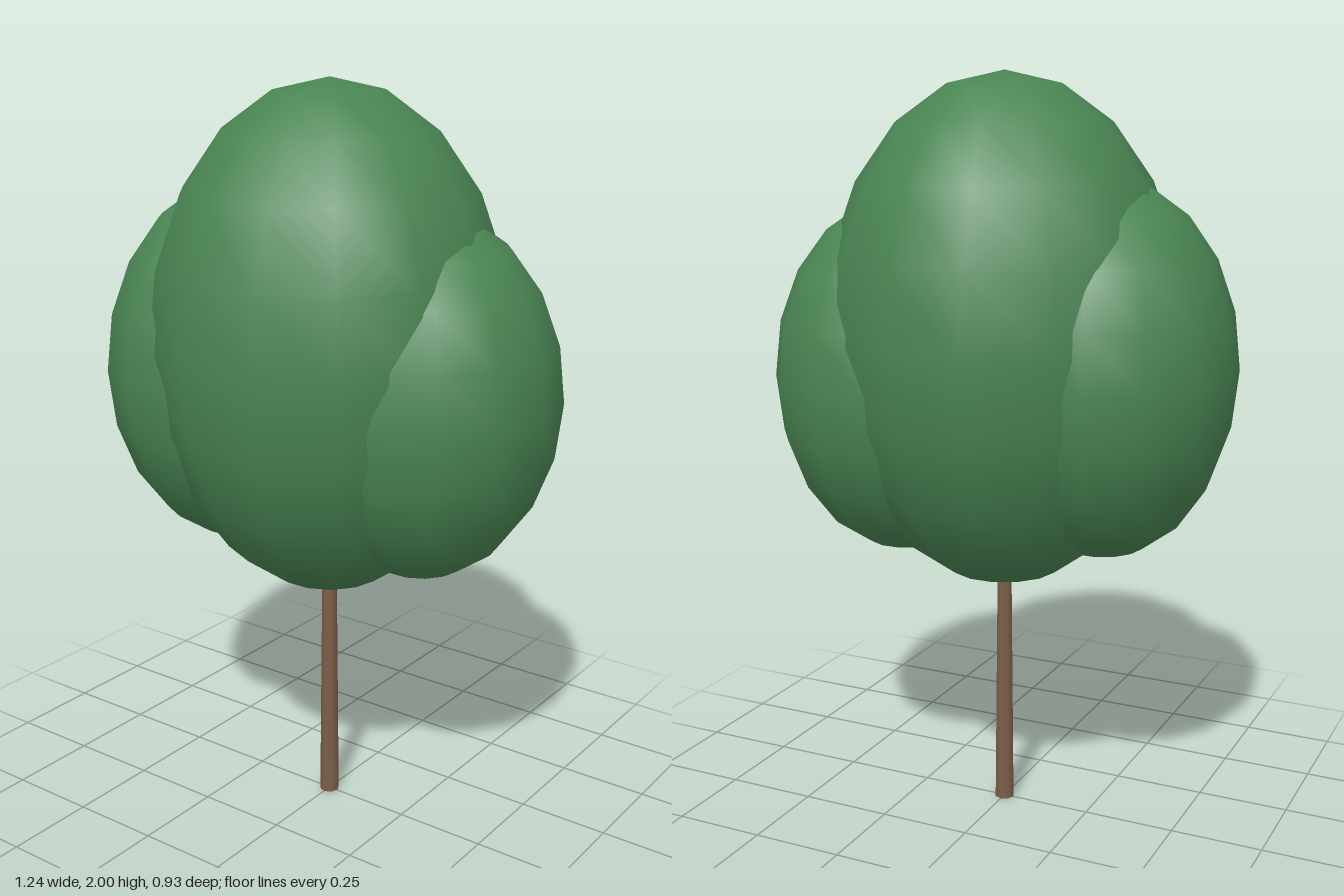
import * as THREE from 'three';

export function createModel() {
  const tree = new THREE.Group();
  tree.name = 'tree';

  const leaves = new THREE.MeshStandardMaterial({ color: 0x4a8553 });
  const bark = new THREE.MeshStandardMaterial({ color: 0x7d5f4a });

  // Slender tapering trunk, its top hidden in the crown
  const trunkHeight = 0.8;
  const trunk = new THREE.Mesh(new THREE.CylinderGeometry(0.019, 0.027, trunkHeight, 8), bark);
  trunk.name = 'trunk';
  trunk.position.y = trunkHeight / 2;
  tree.add(trunk);

  // Egg-shaped foliage: one main crown and a lower lobe on each side
  const foliage = [
    { name: 'mainCrown', centre: [0, 1.325, 0], radii: [0.477, 0.675, 0.477] },
    { name: 'rightLobe', centre: [-0.279, 1.24, 0.03], radii: [0.341, 0.493, 0.38] },
    { name: 'leftLobe', centre: [0.267, 1.205, -0.052], radii: [0.35, 0.48, 0.368] },
  ];
  for (const { name, centre, radii } of foliage) {
    const geometry = new THREE.SphereGeometry(1, 14, 10).scale(...radii);
    const lobe = new THREE.Mesh(geometry, leaves);
    lobe.name = name;
    lobe.position.set(...centre);
    tree.add(lobe);
  }

  return tree;
}
